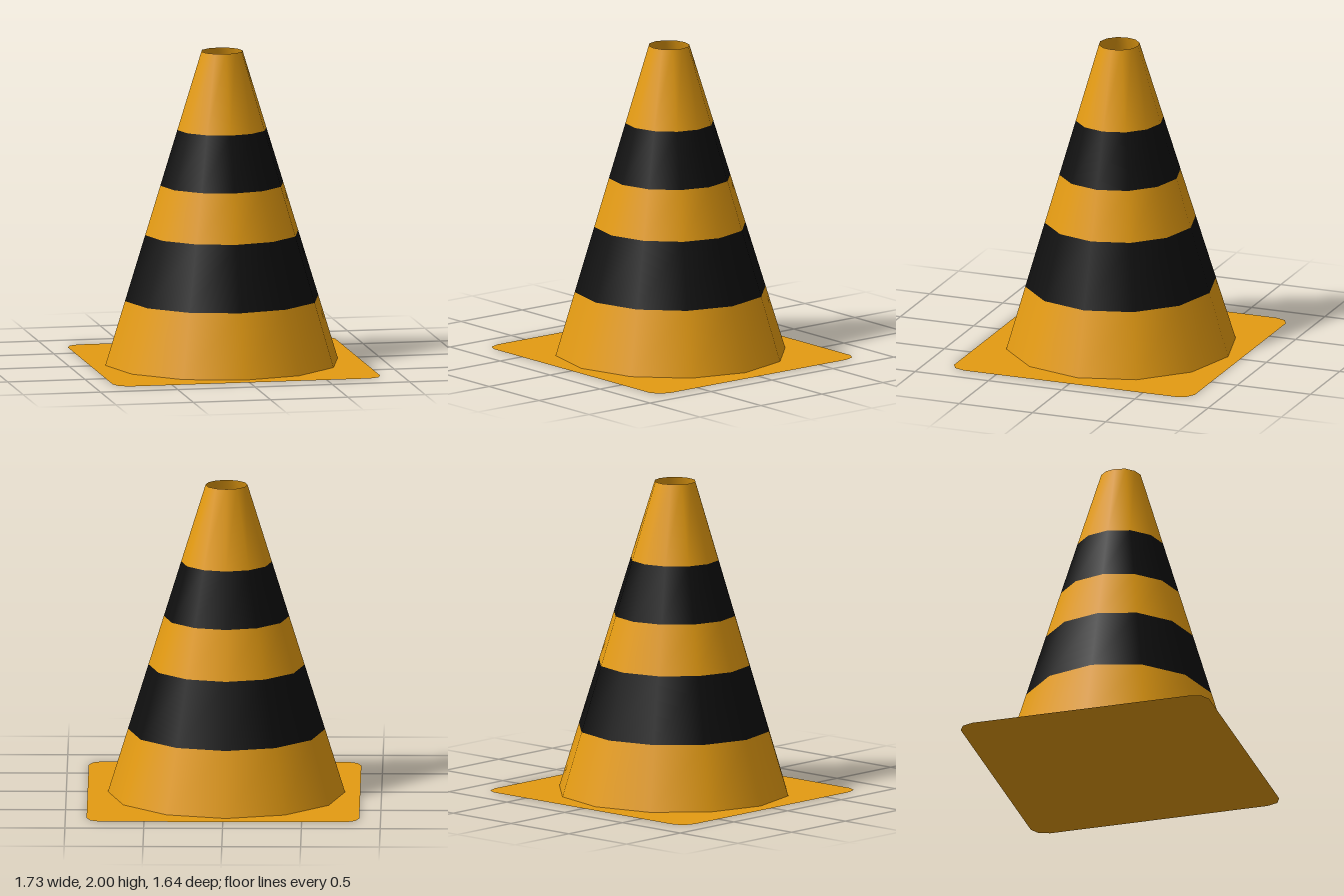
import * as THREE from 'three';

export function createModel() {
  const group = new THREE.Group();
  const orange = new THREE.MeshStandardMaterial({ name: 'orange', color: 0xe49b12, side: THREE.DoubleSide });
  const black = new THREE.MeshStandardMaterial({ name: 'black', color: 0x0e0e0e, side: THREE.DoubleSide });

  // Flat base sheet with clipped, two-step corners
  const corner = [[0.865, 0.72], [0.84, 0.79], [0.78, 0.822]];
  const outline = [];
  for (const [sx, sz] of [[1, 1], [-1, 1], [-1, -1], [1, -1]]) {
    const points = corner.map(([x, z]) => new THREE.Vector2(x * sx, z * sz));
    outline.push(...(sx * sz > 0 ? points : points.reverse()));
  }
  const baseGeometry = new THREE.ShapeGeometry(new THREE.Shape(outline));
  baseGeometry.rotateX(-Math.PI / 2);
  const base = new THREE.Mesh(baseGeometry, orange);
  base.name = 'base';
  group.add(base);

  // Hollow twelve-sided cone, open at the top, split into coloured bands
  const radiusAt = (y) => THREE.MathUtils.lerp(0.752, 0.133, y / 2);
  const addBand = (name, y0, y1, material) => {
    const geometry = new THREE.CylinderGeometry(radiusAt(y1), radiusAt(y0), y1 - y0, 12, 1, true);
    geometry.scale(1, 1, 0.972);
    geometry.translate(-0.016, (y0 + y1) / 2, 0);
    // The cone leans very slightly towards the front
    const position = geometry.attributes.position;
    for (let i = 0; i < position.count; i++) {
      position.setZ(i, position.getZ(i) + 0.006 * position.getY(i));
    }
    const mesh = new THREE.Mesh(geometry, material);
    mesh.name = name;
    group.add(mesh);
  };
  addBand('lowerCone', 0, 0.41, orange);
  addBand('lowerStripe', 0.41, 0.83, black);
  addBand('middleCone', 0.83, 1.145, orange);
  addBand('upperStripe', 1.145, 1.5, black);
  addBand('coneTip', 1.5, 2, orange);

  return group;
}
